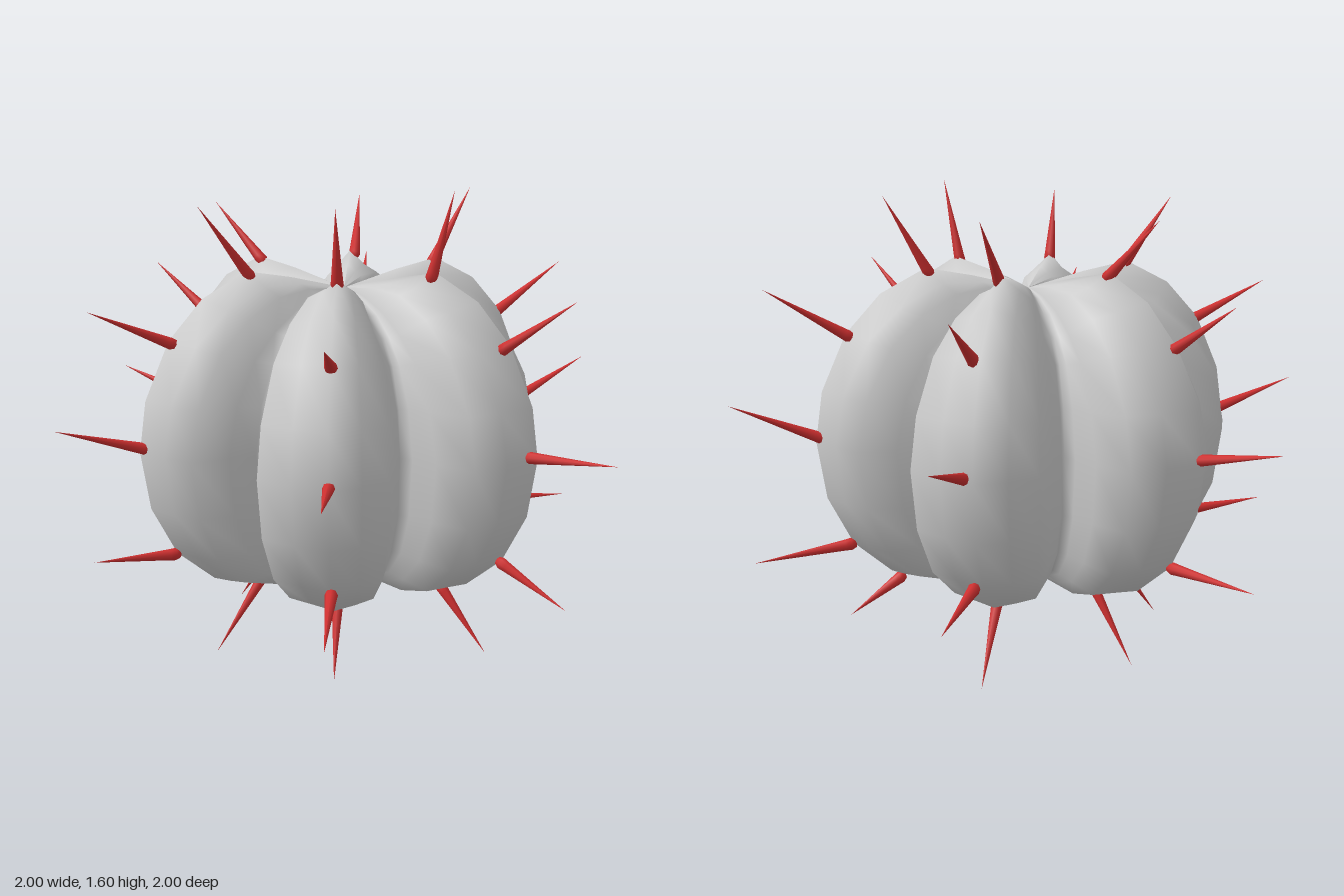
import * as THREE from 'three';

const { degToRad, lerp } = THREE.MathUtils;
const LOBES = 6;
const FIRST = degToRad(44);
const STEP = (Math.PI * 2) / LOBES;

// [radius, height] from the underside to the crown, along a rib crest and along a groove
const CREST = [[0, 0.27], [0.14, 0.225], [0.36, 0.235], [0.5, 0.275], [0.63, 0.39], [0.715, 0.56], [0.745, 0.76],
  [0.72, 0.93], [0.635, 1.12], [0.515, 1.25], [0.36, 1.33], [0.2, 1.3], [0, 1.25]];
const GROOVE = [[0, 0.27], [0.1, 0.27], [0.2, 0.285], [0.3, 0.33], [0.37, 0.42], [0.415, 0.56], [0.43, 0.76],
  [0.415, 0.92], [0.37, 1.05], [0.31, 1.13], [0.23, 1.19], [0.12, 1.23], [0, 1.25]];
// how sharply the rib narrows towards its crest at each level
const PINCH = [1, 1, 1, 1, 1, 1, 1, 1.2, 1.6, 2.2, 2.8, 2.5, 1];

// one slightly lopsided rib in section: [degrees from the crest, blend from groove (0) to crest (1)]
const SECTION = [[-28.5, 0], [-26, 0.12], [-21, 0.37], [-16, 0.73], [-8, 0.86], [0, 1],
  [9.5, 0.87], [19.5, 0.79], [24.5, 0.38], [28.5, 0.12]];

// spine feet [radius, height] from the lowest to the highest on a rib
const FEET = [[0.36, 0.25], [0.64, 0.39], [0.72, 0.77], [0.62, 1.11], [0.35, 1.315]];
// spine tips [radius, height] for each rib, in the same order
const TIPS = [
  [[0.53, 0.04], [0.93, 0.335], [1.01, 0.79], [0.89, 1.22], [0.43, 1.56]],
  [[0.5, 0], [0.92, 0.41], [1.025, 0.87], [0.9, 1.24], [0.525, 1.55]],
  [[0.48, 0], [0.955, 0.385], [1.04, 0.845], [0.85, 1.27], [0.555, 1.51]],
  [[0.57, 0.02], [0.95, 0.36], [1.04, 0.87], [0.85, 1.26], [0.55, 1.52]],
  [[0.65, 0.13], [0.97, 0.355], [1.03, 0.905], [0.9, 1.28], [0.5, 1.57]],
  [[0.59, 0.05], [0.88, 0.28], [1.03, 0.795], [0.87, 1.29], [0.43, 1.6]],
];
// degrees each spine column sits off its rib's centre line
const DRIFT = [0, -0.7, 0, 2.5, -0.7, 2];

function polar(r, y, a) {
  return new THREE.Vector3(r * Math.cos(a), y, r * Math.sin(a));
}

// rings of rib sections stacked from the underside to the crown
function bodyGeometry() {
  const positions = [];
  const index = [];
  const n = LOBES * SECTION.length;
  CREST.forEach(([cr, cy], j) => {
    const [gr, gy] = GROOVE[j];
    for (let l = 0; l < LOBES; l++) {
      for (const [deg, blend] of SECTION) {
        const k = Math.pow(blend, PINCH[j]);
        const p = polar(lerp(gr, cr, k), lerp(gy, cy, k), FIRST + l * STEP + degToRad(deg));
        positions.push(p.x, p.y, p.z);
      }
    }
  });
  for (let j = 0; j < CREST.length - 1; j++) {
    for (let i = 0; i < n; i++) {
      const a = j * n + i;
      const b = j * n + ((i + 1) % n);
      index.push(a, a + n, b + n, a, b + n, b);
    }
  }
  const g = new THREE.BufferGeometry();
  g.setAttribute('position', new THREE.Float32BufferAttribute(positions, 3));
  g.setIndex(index);
  g.computeVertexNormals();
  return g;
}

// tapered thorn with a blunt rounded foot, growing along +y
function spineGeometry(length) {
  const pts = [[0, -0.02], [0.014, -0.016], [0.021, 0], [0.019, 0.02], [0, length]];
  return new THREE.LatheGeometry(pts.map(([x, y]) => new THREE.Vector2(x, y)), 8);
}

export function createModel() {
  const model = new THREE.Group();
  model.name = 'cactus';

  // ribbed body
  const body = new THREE.Mesh(bodyGeometry(), new THREE.MeshStandardMaterial({ color: 0xcccccc }));
  body.name = 'ribbedBody';
  model.add(body);

  // a column of spines along every rib crest
  const red = new THREE.MeshStandardMaterial({ color: 0xd03030 });
  const up = new THREE.Vector3(0, 1, 0);
  TIPS.forEach((tips, l) => {
    const column = new THREE.Group();
    column.name = 'spineColumn' + (l + 1);
    const a = FIRST + l * STEP + degToRad(DRIFT[l]);
    tips.forEach(([tipR, tipY], s) => {
      const [footR, footY] = FEET[s];
      // the lowest spines keep the same lean wherever they sit
      const base = polar(s === 0 ? tipR - 0.18 : footR, footY, a);
      const dir = polar(tipR, tipY, a).sub(base);
      const spine = new THREE.Mesh(spineGeometry(dir.length()), red);
      spine.name = 'spine';
      spine.position.copy(base);
      spine.quaternion.setFromUnitVectors(up, dir.normalize());
      column.add(spine);
    });
    model.add(column);
  });
  return model;
}
